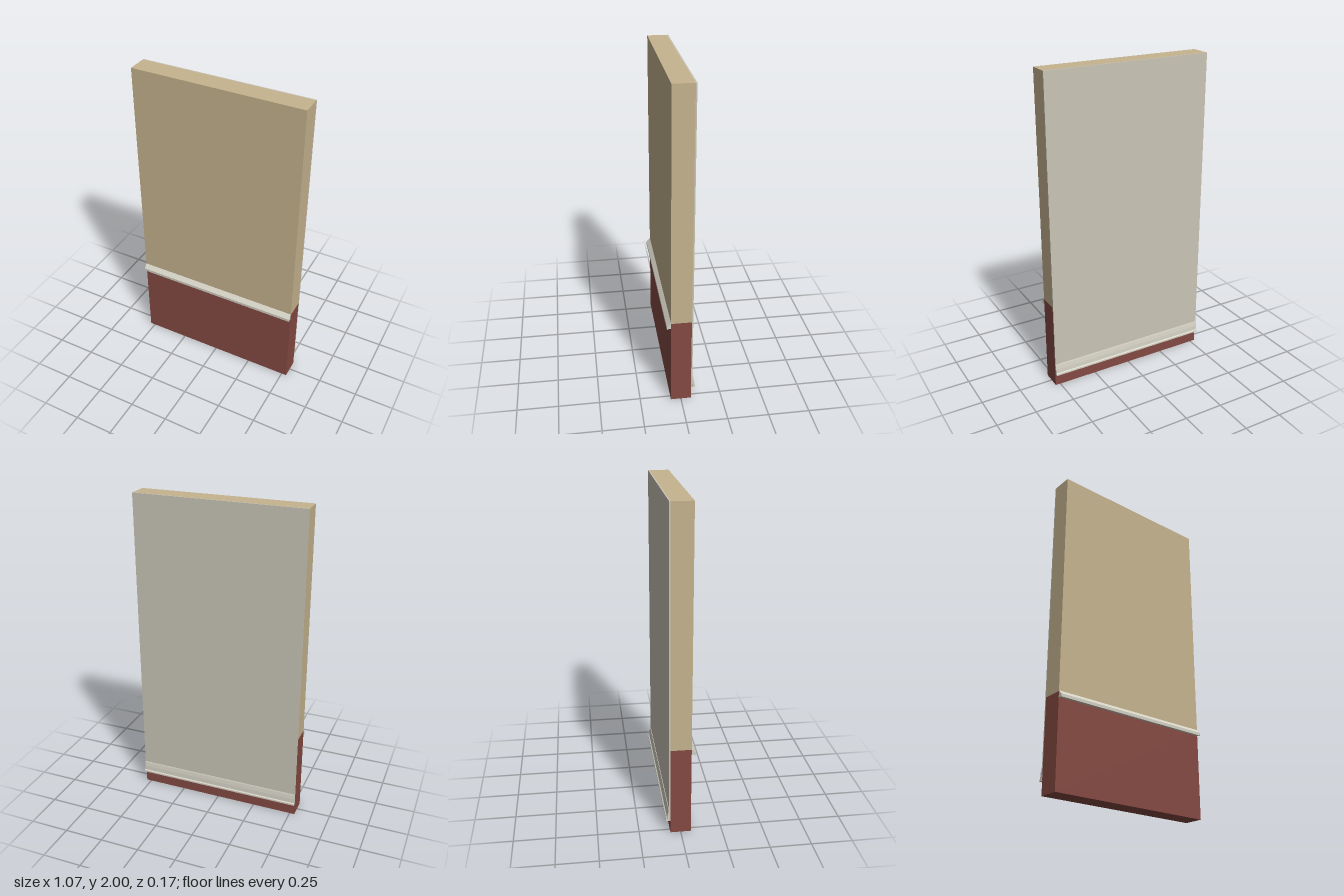
import * as THREE from 'three';

const WIDTH = 1.064;
const FRONT = 0.062, BACK = -0.062, PLASTER_BACK = -0.07;

function paint(name, color) {
  const m = new THREE.MeshStandardMaterial({ color });
  m.name = name;
  return m;
}

// Box given by its y and z limits, spanning the wall width
function slab(name, y0, y1, z0, z1, material) {
  const mesh = new THREE.Mesh(new THREE.BoxGeometry(WIDTH, y1 - y0, z1 - z0), material);
  mesh.position.set(0, (y0 + y1) / 2, (z0 + z1) / 2);
  mesh.name = name;
  return mesh;
}

// Moulding swept along x from a [z, y] profile
function moulding(name, profile, width, material) {
  const shape = new THREE.Shape(profile.map(([z, y]) => new THREE.Vector2(-z, y)));
  const geometry = new THREE.ExtrudeGeometry(shape, { depth: width, bevelEnabled: false });
  geometry.translate(0, 0, -width / 2);
  geometry.rotateY(Math.PI / 2);
  const mesh = new THREE.Mesh(geometry, material);
  mesh.name = name;
  return mesh;
}

export function createModel() {
  const siding = paint('tan siding', 0xc6b48f);
  const brick = paint('red brick', 0x854a42);
  const plaster = paint('pale plaster', 0xcac5b7);
  const stone = paint('pale trim', 0xd3d0c3);

  const wall = new THREE.Group();
  wall.name = 'wallPanel';
  wall.add(
    slab('brickBase', 0, 0.56, BACK, FRONT, brick),
    slab('upperWall', 0.56, 2, BACK, FRONT, siding),
    slab('plasterLining', 0.083, 2, PLASTER_BACK, BACK, plaster),
    // Sloping sill above the brick
    moulding('sillTrim', [
      [FRONT, 0.525], [0.08, 0.525], [0.082, 0.522], [0.087, 0.522],
      [0.087, 0.54], [FRONT, 0.565],
    ], WIDTH, stone),
    // Stepped skirting along the inner face
    moulding('skirting', [
      [PLASTER_BACK, 0.083], [-0.088, 0.083], [-0.088, 0.093], [-0.081, 0.098],
      [-0.079, 0.125], [-0.075, 0.15], [-0.073, 0.157], [PLASTER_BACK, 0.157],
    ], WIDTH + 0.002, stone),
  );
  return wall;
}
